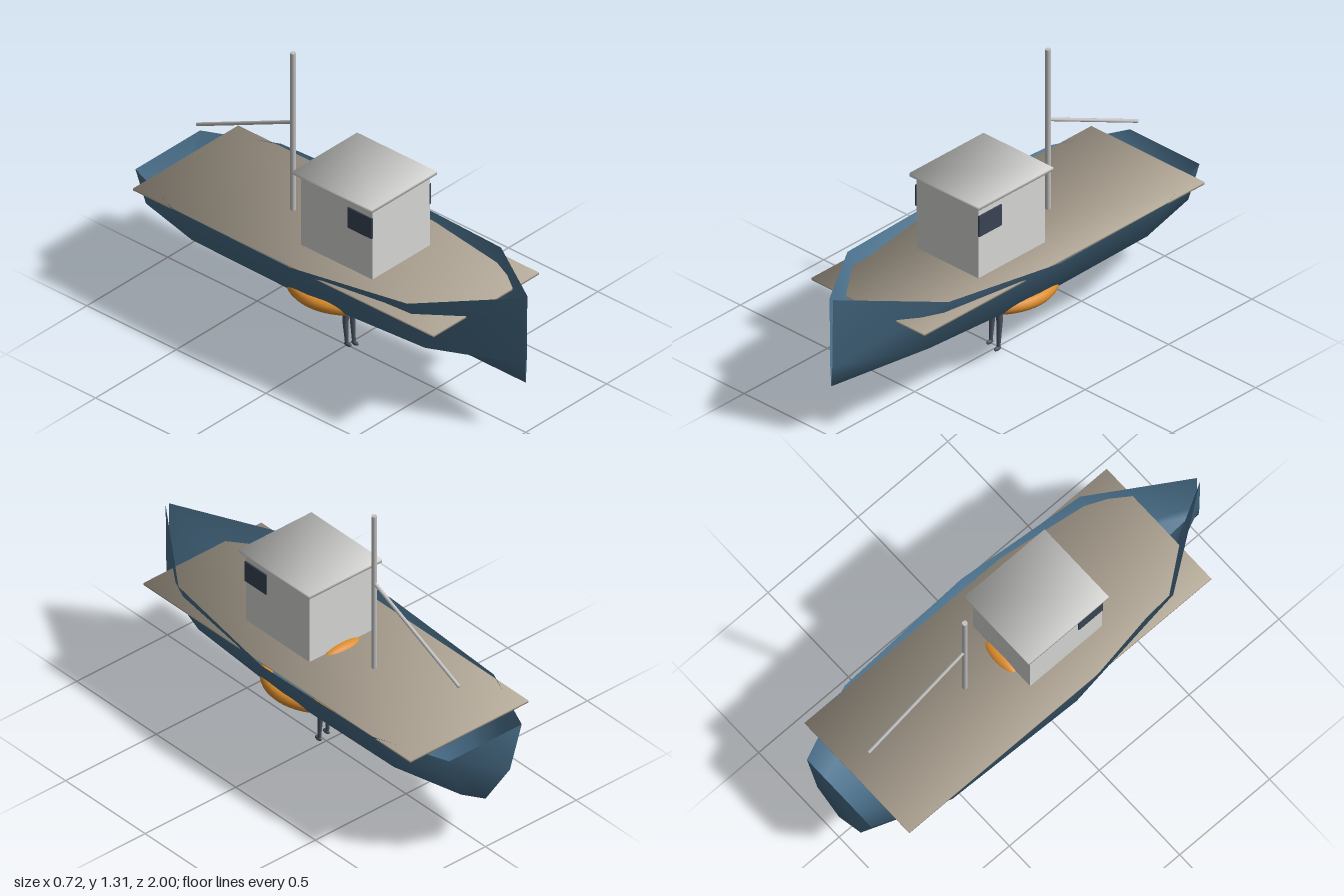
import * as THREE from 'three';

const mat = (name, color, side = THREE.FrontSide) => {
  const m = new THREE.MeshStandardMaterial({ color, side });
  m.name = name;
  return m;
};

export function createModel() {
  const boat = new THREE.Group();
  boat.name = 'boat';
  const hullBlue = mat('hull blue', 0x4a708b, THREE.DoubleSide);
  const deckTan = mat('deck tan', 0xb8ad9c);
  const cabinWhite = mat('cabin white', 0xd8d8d6);
  const sparGrey = mat('spar grey', 0xc0c0c0);
  const glass = mat('window dark', 0x3a4454);
  const orange = mat('buoy orange', 0xdc8c2c);
  const slate = mat('figure slate', 0x4c5563);

  const add = (name, geo, material, x = 0, y = 0, z = 0, parent = boat) => {
    const m = new THREE.Mesh(geo, material);
    m.name = name;
    m.position.set(x, y, z);
    parent.add(m);
    return m;
  };

  // Box whose corner normals point outward, for softly shaded slabs
  const softBox = (w, h, d) => {
    const g = new THREE.BoxGeometry(w, h, d);
    const p = g.attributes.position, n = g.attributes.normal;
    const v = new THREE.Vector3();
    for (let i = 0; i < p.count; i++) {
      v.set(Math.sign(p.getX(i)), Math.sign(p.getY(i)), Math.sign(p.getZ(i))).normalize();
      n.setXYZ(i, v.x, v.y, v.z);
    }
    return g;
  };

  // Round bar between two points
  const bar = (name, a, b, r0, r1, material, parent = boat, sides = 12) => {
    const s = new THREE.Vector3(...a), e = new THREE.Vector3(...b);
    const dir = e.clone().sub(s);
    const m = add(name, new THREE.CylinderGeometry(r1, r0, dir.length(), sides), material, 0, 0, 0, parent);
    m.position.copy(s).add(e).multiplyScalar(0.5);
    m.quaternion.setFromUnitVectors(new THREE.Vector3(0, 1, 0), dir.normalize());
    return m;
  };

  // Hull stations: z, gunwale x, gunwale y, chine x, chine y
  const stations = [
    [1, 0.01, 0.667, 0.006, 0.34],
    [0.6, 0.29, 0.6, 0.18, 0.33],
    [0, 0.36, 0.555, 0.225, 0.33],
    [-0.67, 0.335, 0.542, 0.215, 0.33],
    [-1, 0.2, 0.53, 0.135, 0.33],
  ];
  const pos = [], idx = [];
  for (const [z, gx, gy, cx, cy] of stations)
    pos.push(gx, gy, z, cx, cy, z, 0, 0.245, z, -cx, cy, z, -gx, gy, z);
  for (let i = 0; i < stations.length - 1; i++)
    for (let j = 0; j < 4; j++) {
      const a = i * 5 + j;
      idx.push(a, a + 1, a + 5, a + 1, a + 6, a + 5);
    }
  // Transom
  const t = (stations.length - 1) * 5;
  for (let k = 1; k < 4; k++) idx.push(t, t + k, t + k + 1);
  const hull = new THREE.BufferGeometry();
  hull.setAttribute('position', new THREE.Float32BufferAttribute(pos, 3));
  hull.setIndex(idx);
  hull.computeVertexNormals();
  add('hull', hull, hullBlue);

  // Deck, wheelhouse and roof
  add('deck', softBox(0.65, 0.01, 1.68), deckTan, 0, 0.533, -0.06);
  add('cabin', new THREE.BoxGeometry(0.356, 0.35, 0.4), cabinWhite, 0, 0.71, 0.104);
  add('roof', softBox(0.4, 0.015, 0.445), cabinWhite, 0, 0.891, 0.1);
  for (const s of [-1, 1])
    add(s > 0 ? 'leftWindow' : 'rightWindow', new THREE.BoxGeometry(0.009, 0.1, 0.135), glass, s * 0.18, 0.79, 0.237);

  // Rigging
  bar('mast', [0, 0.5, -0.3], [0, 1.31, -0.3], 0.012, 0.012, sparGrey);
  bar('boom', [0, 0.97, -0.3], [0, 0.727, -0.835], 0.008, 0.008, sparGrey);

  // Buoy ring through the hull, and its raised back
  const ring = add('buoyRing', new THREE.TorusGeometry(0.24, 0.029, 14, 48), orange, 0, 0.338, 0.015);
  ring.rotation.x = Math.PI / 2;
  const back = add('buoyBack', new THREE.SphereGeometry(1, 24, 12), orange, 0, 0.525, -0.1);
  back.scale.set(0.1, 0.03, 0.036);

  // Figure beneath the hull
  const figure = new THREE.Group();
  figure.name = 'figure';
  boat.add(figure);
  const pelvis = add('pelvis', new THREE.SphereGeometry(1, 16, 10), slate, 0, 0.238, 0.015, figure);
  pelvis.scale.set(0.03, 0.022, 0.022);
  bar('torso', [0, 0.24, 0.015], [0, 0.48, 0.015], 0.028, 0.04, slate, figure);
  for (const s of [-1, 1]) {
    const lift = s < 0 ? 0.015 : 0;
    bar('thigh', [s * 0.017, 0.235, 0.015], [s * 0.022, 0.13, 0.013], 0.019, 0.013, slate, figure);
    bar('shin', [s * 0.022, 0.13, 0.013], [s * 0.022, 0.018 + lift, 0.02], 0.013, 0.008, slate, figure);
    const foot = add('foot', new THREE.SphereGeometry(1, 12, 8), slate, s * 0.022, 0.01 + lift, 0.026, figure);
    foot.scale.set(0.009, 0.01, 0.02);
    add('shortsCuff', new THREE.BoxGeometry(0.03, 0.036, 0.058), slate, s * 0.02, 0.206, 0.015, figure);
  }
  return boat;
}
